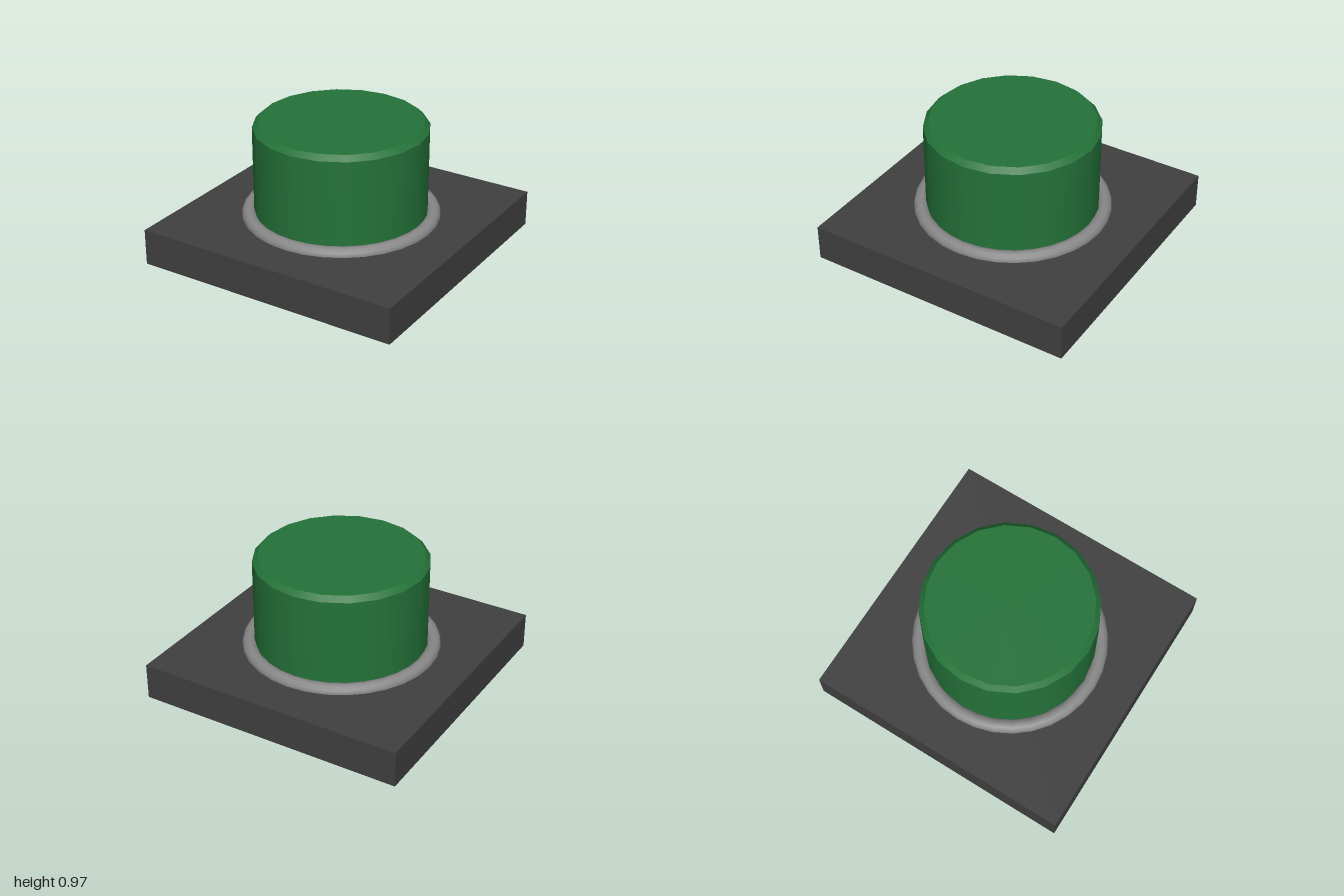
import * as THREE from 'three';

const BASE_TOP = 0.267;
const CAP_SIDES = 20;

function addPart(parent, name, geometry, color, y) {
  const mesh = new THREE.Mesh(geometry, new THREE.MeshStandardMaterial({ color }));
  mesh.name = name;
  mesh.position.y = y;
  parent.add(mesh);
  return mesh;
}

export function createModel() {
  const model = new THREE.Group();
  model.name = 'pushButton';

  // Square base plate
  addPart(model, 'basePlate', new THREE.BoxGeometry(2, BASE_TOP, 2), 0x404040, BASE_TOP / 2);

  // Rounded collar, half sunk into the plate
  const collar = new THREE.TorusGeometry(0.663, 0.054, 12, 32).rotateX(-Math.PI / 2);
  addPart(model, 'collarRing', collar, 0x888888, BASE_TOP);

  // Button cap: smooth round wall with a chamfered top
  const cap = new THREE.Group();
  cap.name = 'buttonCap';
  const wallTop = 0.935;
  const capTop = 0.972;
  const radius = 0.627;
  const green = 0x247339;
  const wallHeight = wallTop - BASE_TOP;
  addPart(cap, 'capWall',
    new THREE.CylinderGeometry(radius, radius, wallHeight, CAP_SIDES, 1, true),
    green, BASE_TOP + wallHeight / 2);
  addPart(cap, 'capChamferedTop',
    new THREE.CylinderGeometry(0.59, radius, capTop - wallTop, CAP_SIDES),
    green, (wallTop + capTop) / 2);
  model.add(cap);

  return model;
}
